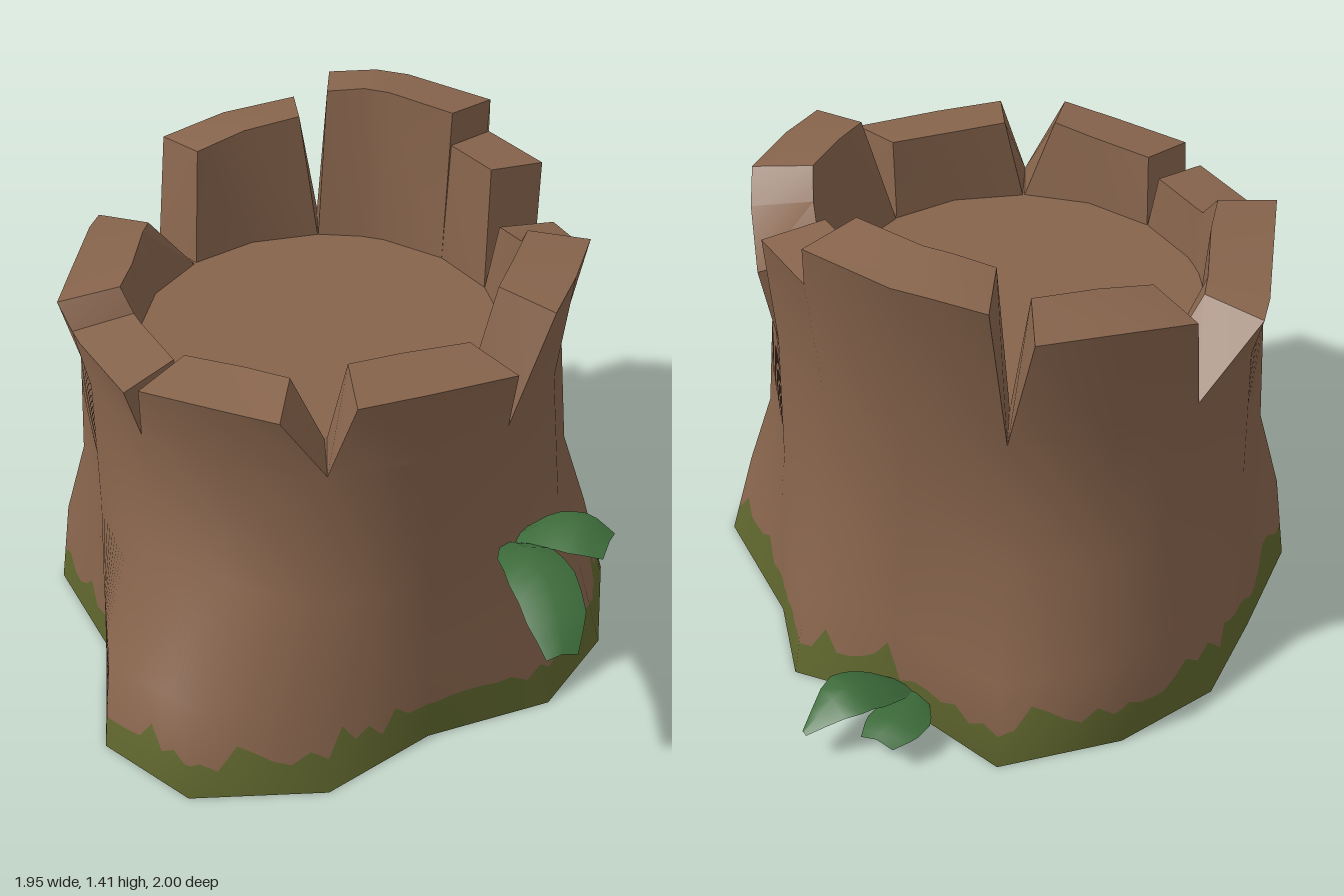
import * as THREE from 'three';
import { toCreasedNormals } from 'three/addons/utils/BufferGeometryUtils.js';

const CX = -0.13, CZ = 0.025, SIDES = 16, RIM = 0.93;
const LEVELS = [0, 0.28, 0.52, RIM];

// root outline on the ground, one corner per side
const ROOTS = [
  [0.75, 0], [0.58, 0.34], [0.52, 0.69], [0.25, 0.97], [-0.07, 0.995], [-0.38, 0.72], [-0.73, 0.6], [-0.87, 0.28],
  [-0.98, 0], [-0.94, -0.32], [-0.78, -0.64], [-0.4, -0.69], [-0.13, -0.83], [0.1, -0.7], [0.5, -0.59], [0.7, -0.31],
];
// how far each root still stands out at the second level
const BULGE = [0.6, 0.6, 0.6, 0.82, 0.82, 0.65, 0.7, 0.65, 0.65, 0.9, 0.9, 0.8, 0.65, 0.6, 0.6, 0.6];

// point on a circle around the stump axis; k counts sides, from +x towards +z
function polar(k, r, y) {
  const a = (k / SIDES) * Math.PI * 2;
  return new THREE.Vector3(CX + r * Math.cos(a), y, CZ + r * Math.sin(a));
}

// trunk cross-sections: root outline blending into a circle at the rim
const rings = LEVELS.map((y, i) => ROOTS.map(([x, z], k) => {
  const front = k === 3 || k === 4;
  const blend = [1, BULGE[k], front ? 0.05 : 0.19, 0][i];
  return polar(k, 0.695, y).lerp(new THREE.Vector3(x, y, z), blend);
}));
const ringNormals = rings.map((ring, i) => ring.map((p, k) => {
  const along = ring[(k + 1) % SIDES].clone().sub(ring[(k + 15) % SIDES]);
  const above = i < 3 ? rings[i + 1][k] : polar(k, 0.74, 1.2);
  return above.clone().sub(rings[Math.max(i - 1, 0)][k]).cross(along).normalize();
}));

// bilinear sample of a ring table at side position u and height y
function sample(table, u, y) {
  const k = Math.floor(u) % SIDES, f = u - Math.floor(u);
  let i = 0;
  while (i < 2 && y > LEVELS[i + 1]) i++;
  const row = (r) => r[k].clone().lerp(r[(k + 1) % SIDES], f);
  return row(table[i]).lerp(row(table[i + 1]), (y - LEVELS[i]) / (LEVELS[i + 1] - LEVELS[i]));
}

// band of trunk between a list of height functions, with smooth normals
function trunkBand(heights) {
  const N = 240, pos = [], nor = [], index = [], w = N + 1;
  heights.forEach((h, r) => {
    for (let c = 0; c <= N; c++) {
      const u = (c / N) * SIDES, y = h(c % N);
      pos.push(...sample(rings, u, y).toArray());
      nor.push(...sample(ringNormals, u, y).normalize().toArray());
      if (r === 0 || c === N) continue;
      const a = (r - 1) * w + c, b = r * w + c;
      index.push(a, b, b + 1, a, b + 1, a + 1);
    }
  });
  const g = new THREE.BufferGeometry();
  g.setAttribute('position', new THREE.Float32BufferAttribute(pos, 3));
  g.setAttribute('normal', new THREE.Float32BufferAttribute(nor, 3));
  g.setIndex(index);
  return g;
}

// one piece of broken rim; columns are [bottom side, top side, top height, top radius]
function rimPiece(columns) {
  const pos = [];
  const quad = (a, b, c, d) => [a, b, c, a, c, d].forEach((p) => pos.push(p.x, p.y, p.z));
  const cols = columns.map(([kb, kt, y, r]) => [
    sample(rings, kb, RIM), polar(kt, r, y), polar(kt, r - 0.175, y + 0.02), polar(kb, 0.53, RIM - 0.01),
  ]);
  for (let i = 0; i < cols.length - 1; i++) {
    const a = cols[i], b = cols[i + 1];
    for (let e = 0; e < 3; e++) quad(a[e], a[e + 1], b[e + 1], b[e]);
  }
  const s = cols[0], t = cols[cols.length - 1];
  quad(s[0], s[3], s[2], s[1]);
  quad(t[0], t[1], t[2], t[3]);
  const g = new THREE.BufferGeometry();
  g.setAttribute('position', new THREE.Float32BufferAttribute(pos, 3));
  const creased = toCreasedNormals(g, 0.55);
  // let the outer bark shade on smoothly from the trunk
  for (let i = 0; i < cols.length - 1; i++) {
    const [b0, t0] = columns[i], [b1, t1] = columns[i + 1];
    [[b0, 0], [t0, 1], [t1, 1], [b0, 0], [t1, 1], [b1, 0]].forEach(([k, top], v) => {
      const n = sample(ringNormals, k, RIM);
      n.y -= top * 0.15;
      n.normalize();
      creased.attributes.normal.setXYZ(i * 18 + v, n.x, n.y, n.z);
    });
  }
  return creased;
}

// drooping leaf: rows are [x, y, z, half width], folded along the midrib
function leafGeometry(rows) {
  const curve = new THREE.CatmullRomCurve3(rows.map(([x, y, z]) => new THREE.Vector3(x, y, z)));
  const first = rows[0], last = rows[rows.length - 1];
  const side = new THREE.Vector3(-(last[2] - first[2]), 0, last[0] - first[0]).normalize();
  const pos = [], index = [], STEPS = 8;
  for (let i = 0; i <= STEPS; i++) {
    const t = i / STEPS, p = curve.getPoint(t), s = t * (rows.length - 1);
    const j = Math.min(Math.floor(s), rows.length - 2);
    const half = THREE.MathUtils.lerp(rows[j][3], rows[j + 1][3], s - j);
    for (const m of [-1, 0, 1]) {
      pos.push(p.x + side.x * m * half, p.y - Math.abs(m) * half * 0.3, p.z + side.z * m * half);
    }
    if (i === STEPS) continue;
    for (const c of [0, 1]) {
      const a = i * 3 + c;
      index.push(a, a + 4, a + 1, a, a + 3, a + 4);
    }
  }
  const g = new THREE.BufferGeometry();
  g.setAttribute('position', new THREE.Float32BufferAttribute(pos, 3));
  g.setIndex(index);
  g.computeVertexNormals();
  return g;
}

export function createModel() {
  const group = new THREE.Group();
  const bark = new THREE.MeshStandardMaterial({ color: 0x87644c, side: THREE.DoubleSide });
  bark.name = 'bark brown';
  const moss = new THREE.MeshStandardMaterial({ color: 0x5e652d, side: THREE.DoubleSide });
  moss.name = 'moss green';
  const green = new THREE.MeshStandardMaterial({ color: 0x3d6c3b, side: THREE.DoubleSide });
  green.name = 'leaf green';
  const add = (name, geometry, material) => {
    const mesh = new THREE.Mesh(geometry, material);
    mesh.name = name;
    group.add(mesh);
  };

  // ragged moss edge
  let seed = 7;
  const random = () => (seed = (seed * 16807) % 2147483647) / 2147483647;
  const knots = Array.from({ length: 120 }, () => 0.08 + 0.05 * random() + 0.08 * random() ** 5);
  const edge = (c) => {
    const i = Math.floor(c / 2);
    return c % 2 ? (knots[i] + knots[(i + 1) % 120]) / 2 : knots[i];
  };

  // trunk, open underneath
  add('mossBand', trunkBand([() => 0, edge]), moss);
  add('trunk', trunkBand([edge, () => LEVELS[1], () => LEVELS[2], () => RIM]), bark);

  // cut wood inside the rim
  const floor = new THREE.CircleGeometry(0.695, SIDES).rotateX(-Math.PI / 2).translate(CX, RIM, CZ);
  add('cutWood', floor, bark);

  // broken rim with V-shaped gaps between pieces
  const pieces = {
    rimLeft: [[0, 0.13, 1.14, 0.75], [1, 1, 1.15, 0.7], [2, 1.72, 1.155, 0.715]],
    rimFrontLeft: [[2, 2.4, 1.14, 0.755], [3, 3, 1.13, 0.72], [4, 3.83, 1.115, 0.735]],
    rimFrontRight: [[4, 4.08, 1.07, 0.725], [5, 5, 1.08, 0.715], [5.2, 5.2, 1.085, 0.72], [5.4, 5.4, 1.15, 0.745],
      [6, 6, 1.14, 0.705], [7, 7, 1.12, 0.73], [8, 7.3, 1.11, 0.75]],
    rimRight: [[8, 8.3, 1.25, 0.75], [9, 9, 1.28, 0.74], [10, 9.78, 1.29, 0.765]],
    rimBack: [[10, 10.15, 1.375, 0.76], [10.65, 10.65, 1.395, 0.75], [11, 11, 1.395, 0.745], [12, 12, 1.39, 0.735],
      [12, 12, 1.285, 0.735], [13, 12.85, 1.285, 0.73]],
    rimBackLeft: [[13, 13.15, 1.13, 0.73], [14, 14, 1.19, 0.74], [14.3, 14.3, 1.265, 0.75],
      [15, 15, 1.265, 0.735], [16, 15.6, 1.255, 0.75]],
  };
  for (const [name, columns] of Object.entries(pieces)) add(name, rimPiece(columns), bark);

  // sprouts on the left side and at the back
  const leaves = {
    sideLeafShort: [[0.58, 0.53, -0.02, 0.03], [0.66, 0.595, -0.06, 0.085], [0.75, 0.615, -0.09, 0.095], [0.83, 0.59, -0.115, 0.06]],
    sideLeafLong: [[0.58, 0.53, 0.02, 0.02], [0.68, 0.6, 0.07, 0.08], [0.78, 0.605, 0.12, 0.095],
      [0.88, 0.56, 0.18, 0.085], [0.95, 0.49, 0.24, 0.045]],
    backLeafLong: [[-0.45, 0.08, -0.67, 0.03], [-0.42, 0.14, -0.77, 0.08], [-0.405, 0.165, -0.87, 0.085], [-0.4, 0.09, -1, 0.01]],
    backLeafShort: [[-0.48, 0.08, -0.67, 0.04], [-0.52, 0.1, -0.74, 0.08], [-0.54, 0.105, -0.81, 0.08], [-0.55, 0.09, -0.87, 0.05]],
  };
  for (const [name, rows] of Object.entries(leaves)) add(name, leafGeometry(rows), green);
  return group;
}
